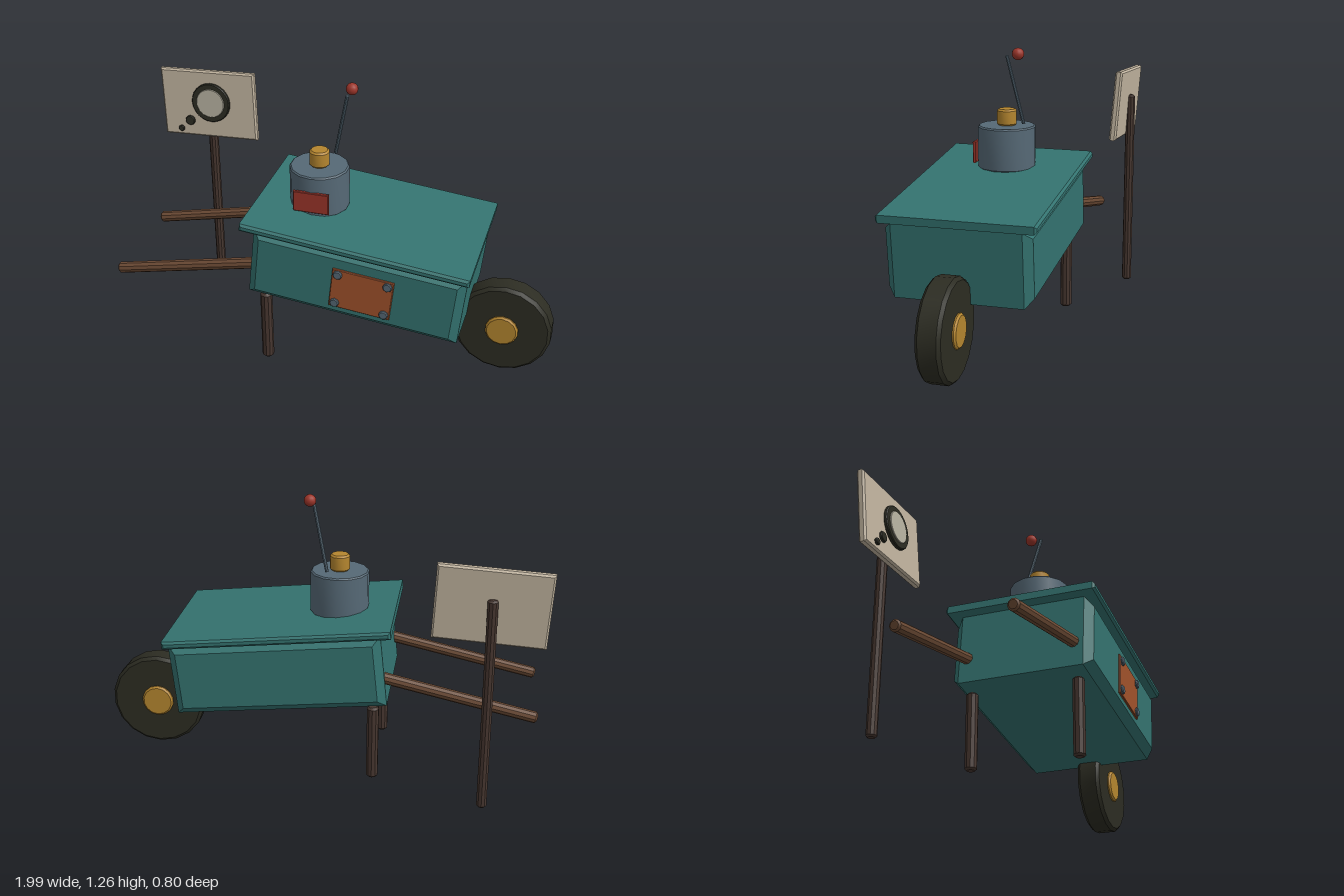
import * as THREE from 'three';
import { toCreasedNormals } from 'three/addons/utils/BufferGeometryUtils.js';

const material = (name, color) => new THREE.MeshStandardMaterial({ name, color });

export function createModel() {
  const teal = material('teal paint', 0x347370);
  const wood = material('handle wood', 0x6b4a34);
  const darkWood = material('dark wood', 0x46362f);
  const rubber = material('dark rubber', 0x2c2c22);
  const brass = material('brass', 0xb5862f);
  const steel = material('slate steel', 0x566976);
  const red = material('red', 0x9c352a);
  const rust = material('rust patch', 0xa0522b);
  const board = material('board cream', 0xc2b5a0);
  const pale = material('pale disc', 0xb8b3a2);

  const model = new THREE.Group();
  model.name = 'handcart';

  function add(parent, name, geometry, mat, x, y, z) {
    const mesh = new THREE.Mesh(geometry, mat);
    mesh.name = name;
    mesh.position.set(x, y, z);
    parent.add(mesh);
    return mesh;
  }

  // Box with a single chamfer on every edge, centred on the origin
  function chamferBox(w, h, d, b) {
    const x = w / 2 - b, y = h / 2 - b;
    const shape = new THREE.Shape([[-x, -y], [x, -y], [x, y], [-x, y]].map(p => new THREE.Vector2(...p)));
    const g = new THREE.ExtrudeGeometry(shape, {
      depth: d - 2 * b, bevelSize: b, bevelThickness: b, bevelSegments: 1,
    });
    return g.translate(0, 0, b - d / 2);
  }

  // Upright cylinder with chamfered rims, centred on the origin
  function chamferCylinder(r, h, b, sides) {
    const y = h / 2;
    const profile = [[0, -y], [r - b, -y], [r, b - y], [r, y - b], [r - b, y], [0, y]];
    const g = new THREE.LatheGeometry(profile.map(p => new THREE.Vector2(...p)), sides);
    return toCreasedNormals(g, 0.6);
  }
  // The same cylinder lying along z
  const disc = (r, h, b, sides) => chamferCylinder(r, h, b, sides).rotateX(Math.PI / 2);

  // Rod between two points
  function rod(name, from, to, r, b, mat, sides) {
    const a = new THREE.Vector3(...from), c = new THREE.Vector3(...to);
    const dir = c.clone().sub(a);
    const mesh = add(model, name, chamferCylinder(r, dir.length(), b, sides), mat, 0, 0, 0);
    mesh.position.copy(a).add(c).multiplyScalar(0.5);
    mesh.quaternion.setFromUnitVectors(new THREE.Vector3(0, 1, 0), dir.normalize());
  }

  // Tilted tray with its lid
  const tray = new THREE.Group();
  tray.name = 'tray';
  tray.position.set(0.163, 0.495, 0.06);
  tray.rotation.z = -0.105;
  model.add(tray);
  add(tray, 'trayBody', chamferBox(0.945, 0.33, 0.63, 0.035), teal, 0, 0, 0);
  add(tray, 'lid', chamferBox(1.008, 0.035, 0.685, 0.01), teal, -0.019, 0.183, 0);

  // Bolted repair patch on the front face
  add(tray, 'patch', chamferBox(0.272, 0.192, 0.016, 0.003), rust, 0.038, -0.01, 0.316);
  for (const sx of [-1, 1]) for (const sy of [-1, 1]) {
    add(tray, 'patchBolt', disc(0.021, 0.016, 0.004, 8), steel, 0.038 + sx * 0.11, -0.01 + sy * 0.072, 0.326);
  }

  // Wheel and hub
  add(model, 'wheel', disc(0.219, 0.106, 0.014, 18), rubber, 0.777, 0.225, 0.06);
  add(model, 'hub', disc(0.074, 0.134, 0.008, 14), brass, 0.777, 0.225, 0.06);

  // Legs and handles, one pair on each side
  for (const z of [0.299, -0.179]) {
    rod('leg', [-0.26, 0.005, z], [-0.26, 0.352, z], 0.027, 0.009, darkWood, 10);
  }
  for (const z of [0.295, -0.185]) {
    rod('handle', [-0.976, 0.35, z], [-0.27, 0.505, z], 0.026, 0.008, wood, 10);
  }

  // Round device on the lid
  add(model, 'canister', chamferCylinder(0.132, 0.195, 0.006, 14), steel, -0.079, 0.805, 0.06);
  add(model, 'knob', chamferCylinder(0.045, 0.075, 0.008, 12), brass, -0.079, 0.939, 0.06);
  add(model, 'redPanel', chamferBox(0.16, 0.097, 0.016, 0.003), red, -0.079, 0.783, 0.19);

  // Antenna with its ball
  rod('antenna', [-0.033, 0.92, -0.032], [0.036, 1.23, 0.025], 0.008, 0.001, steel, 8);
  add(model, 'antennaBall', new THREE.SphereGeometry(0.027, 14, 10), red, 0.042, 1.24, -0.027);

  // Signpost with a tilted board
  rod('post', [-0.756, 0.003, -0.377], [-0.756, 0.957, -0.377], 0.023, 0.008, darkWood, 10);
  const sign = new THREE.Group();
  sign.name = 'sign';
  sign.position.set(-0.755, 0.921, -0.353);
  sign.rotation.set(-0.07, -0.02, 0.052);
  model.add(sign);
  add(sign, 'signBoard', chamferBox(0.475, 0.332, 0.034, 0.008), board, 0, 0, 0);

  // Dark ring with a pale centre, and two trailing dots
  add(sign, 'signRing', disc(0.096, 0.018, 0.004, 24), rubber, 0.016, 0.013, 0.024);
  add(sign, 'signDisc', disc(0.07, 0.008, 0.002, 24), pale, 0.016, 0.013, 0.034);
  add(sign, 'signDot', disc(0.024, 0.014, 0.003, 12), rubber, -0.1, -0.086, 0.022);
  add(sign, 'signDot', disc(0.015, 0.014, 0.003, 12), rubber, -0.15, -0.131, 0.022);

  return model;
}
